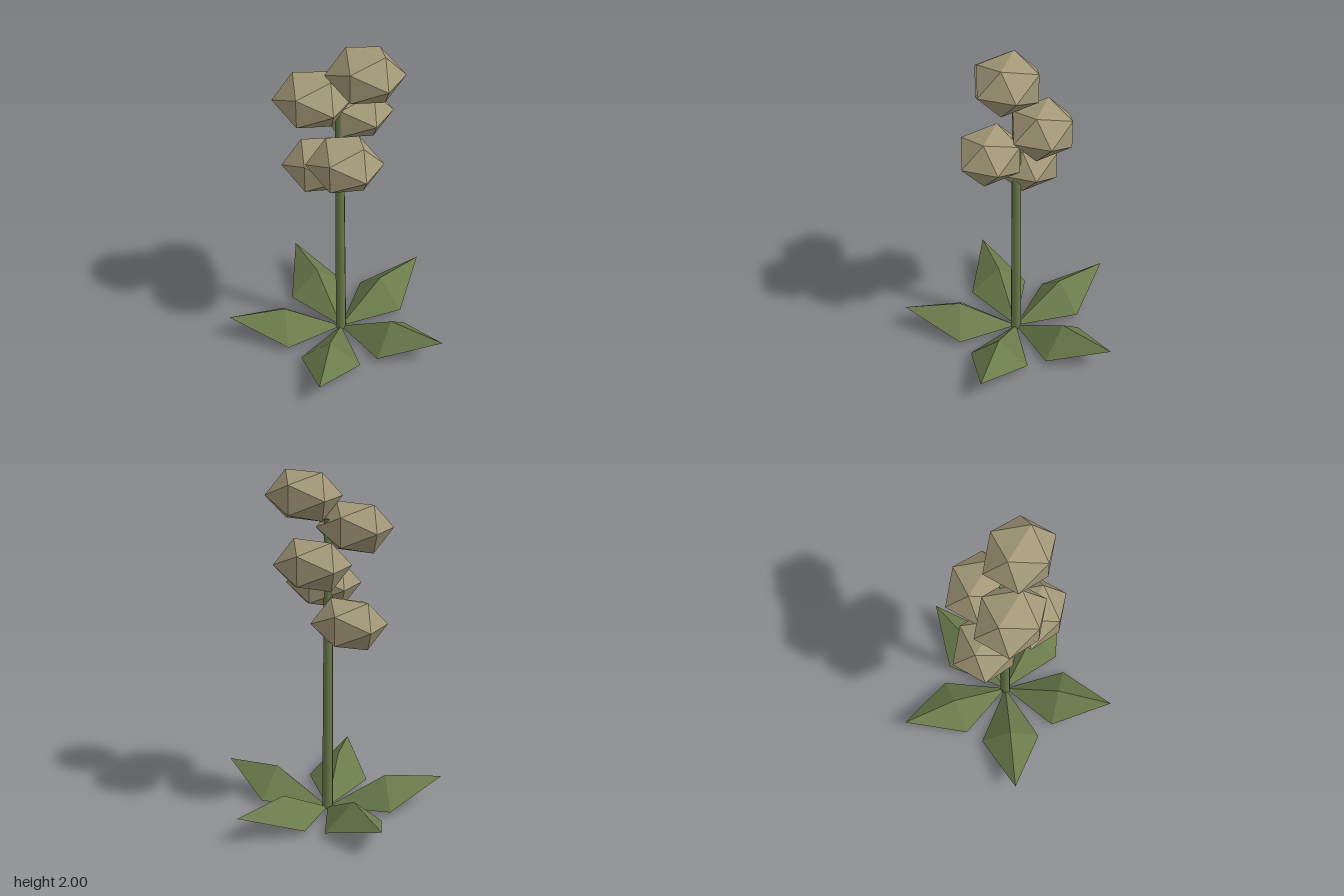
import * as THREE from 'three';

const STEM_X = -0.07;

// One ridged leaf pointing along +x from its root
function leafGeometry() {
  const root = [0, 0.003, 0], ridge = [0.346, 0.192, 0], tip = [0.686, 0.165, 0];
  const near = [0.346, 0.035, 0.18], far = [0.346, 0.035, -0.18];
  const faces = [
    [root, near, ridge], [ridge, near, tip],   // upper faces
    [root, ridge, far], [ridge, tip, far],
    [root, far, near], [tip, near, far],       // underside
  ];
  const geometry = new THREE.BufferGeometry();
  geometry.setAttribute('position', new THREE.Float32BufferAttribute(faces.flat(2), 3));
  geometry.computeVertexNormals();
  return geometry;
}

export function createModel() {
  const green = new THREE.MeshStandardMaterial({ color: 0x6b7c4c });
  green.name = 'leafGreen';
  const tan = new THREE.MeshStandardMaterial({ color: 0xa39978 });
  tan.name = 'blossomTan';

  const group = new THREE.Group();
  group.name = 'flower';
  const add = (name, geometry, material, x, y, z) => {
    const mesh = new THREE.Mesh(geometry, material);
    mesh.name = name;
    mesh.position.set(x, y, z);
    group.add(mesh);
    return mesh;
  };

  // Slim tapering stem
  const height = 1.75;
  add('stem', new THREE.CylinderGeometry(0.024, 0.033, height, 8), green, STEM_X, height / 2, 0);

  // Rosette of five leaves
  const leaf = leafGeometry();
  for (let i = 0; i < 5; i++) {
    add('leaf' + (i + 1), leaf, green, STEM_X, 0, 0).rotation.y = (i * 2 * Math.PI) / 5;
  }

  // Faceted blossoms staggered around the upper stem
  const blossom = new THREE.IcosahedronGeometry(0.221, 0).scale(1, 0.72, 0.9);
  [
    [0.085, 1.865, 0],
    [-0.18, 1.695, 0.104],
    [-0.055, 1.523, -0.152],
    [0.025, 1.35, 0.12],
    [-0.217, 1.178, -0.026],
  ].forEach(([x, y, z], i) => add('blossom' + (i + 1), blossom, tan, x, y, z));

  return group;
}
